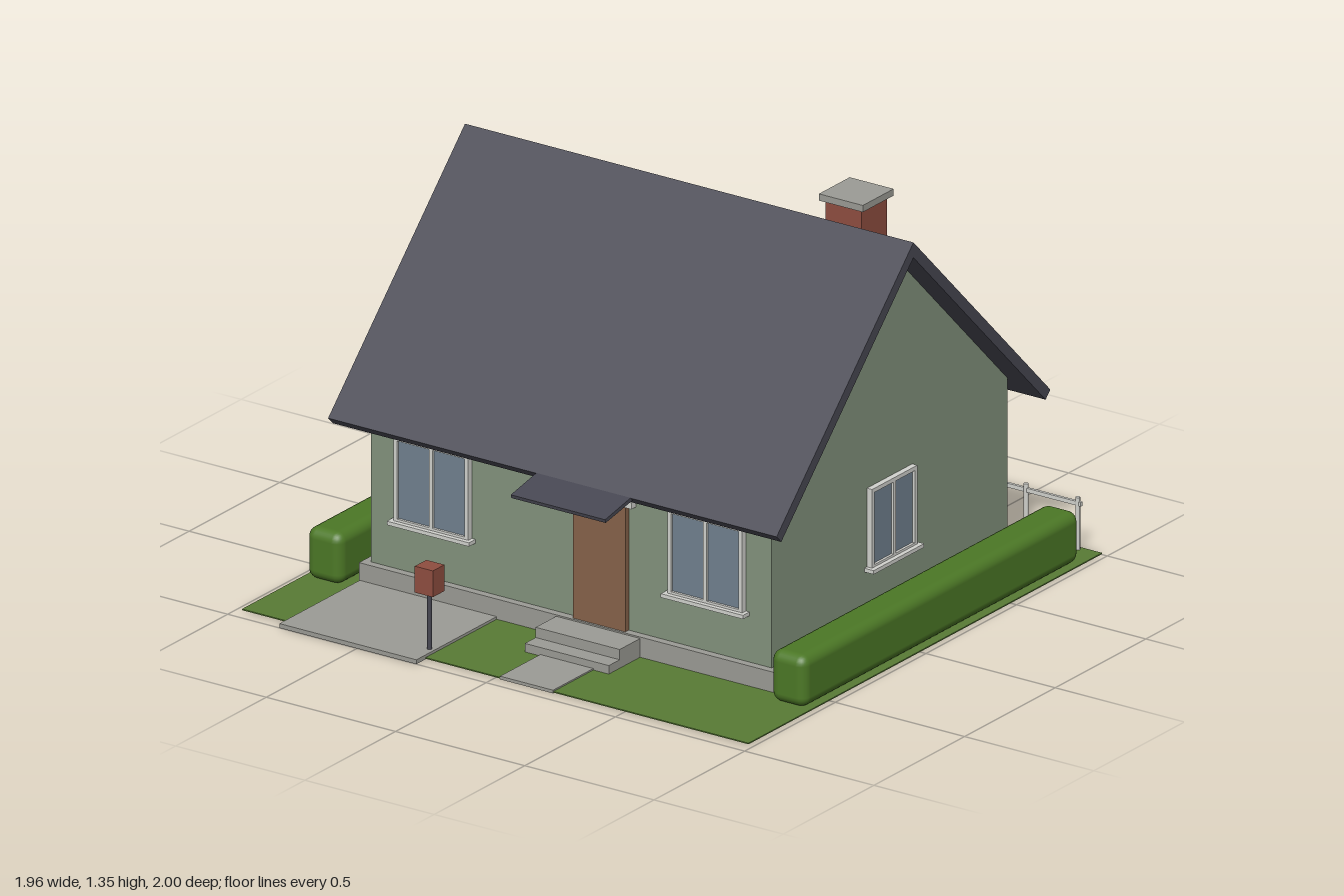
import * as THREE from 'three';
import { RoundedBoxGeometry } from 'three/addons/geometries/RoundedBoxGeometry.js';

const mat = (name, color) => {
  const m = new THREE.MeshStandardMaterial({ color });
  m.name = name;
  return m;
};

export function createModel() {
  const model = new THREE.Group();
  model.name = 'cottage';
  const grass = mat('grass', 0x587b35);
  const leaf = mat('hedge green', 0x4c7826);
  const concrete = mat('concrete', 0x9c9c96);
  const wall = mat('sage wall', 0x83937d);
  const slate = mat('slate', 0x484853);
  const brick = mat('brick', 0x8f4e40);
  const wood = mat('door wood', 0x87634a);
  const trim = mat('white trim', 0xd2d3ce);
  const glass = mat('glass', 0x71818f);

  const add = (name, geometry, material, parent = model) => {
    const mesh = new THREE.Mesh(geometry, material);
    mesh.name = name;
    parent.add(mesh);
    return mesh;
  };
  // Box given by its lower and upper limits on each axis
  const box = (name, material, [x0, x1], [y0, y1], [z0, z1], parent = model) => {
    const mesh = add(name, new THREE.BoxGeometry(x1 - x0, y1 - y0, z1 - z0), material, parent);
    mesh.position.set((x0 + x1) / 2, (y0 + y1) / 2, (z0 + z1) / 2);
    return mesh;
  };
  // Profile of [z, y] points extruded across x, centred
  const acrossX = (name, material, points, width) => {
    const shape = new THREE.Shape(points.map(p => new THREE.Vector2(...p)));
    const geo = new THREE.ExtrudeGeometry(shape, { depth: width, bevelEnabled: false });
    geo.rotateY(-Math.PI / 2).translate(width / 2, 0, 0);
    return add(name, geo, material);
  };

  // Ground and paving
  box('lawn', grass, [-0.98, 0.98], [0.002, 0.006], [-1, 0.95]);
  box('driveway', concrete, [-0.8, -0.27], [0, 0.015], [0.55, 1]);
  box('path', concrete, [0.02, 0.225], [0, 0.011], [0.72, 0.952]);
  box('foundation', concrete, [-0.803, 0.803], [0, 0.075], [-0.797, 0.557]);
  box('upperStep', concrete, [-0.04, 0.285], [0, 0.07], [0.55, 0.67]);
  box('lowerStep', concrete, [-0.04, 0.285], [0, 0.035], [0.67, 0.73]);

  // House body with gables, and the roof over it
  const ridgeZ = -0.12;
  acrossX('walls', wall, [
    [-0.77, 0.07], [0.53, 0.07], [0.53, 0.665], [ridgeZ, 1.315], [-0.77, 0.665],
  ], 1.55);
  const reach = 0.755, t = 0.026; // t: slab thickness along each axis
  acrossX('roof', slate, [
    [ridgeZ, 1.335], [ridgeZ - reach, 1.335 - reach], [ridgeZ - reach + t, 1.335 - reach - t],
    [ridgeZ, 1.335 - 2 * t], [ridgeZ + reach - t, 1.335 - reach - t], [ridgeZ + reach, 1.335 - reach],
  ], 1.735);

  // Chimney
  box('chimneyStack', brick, [0.417, 0.557], [0.95, 1.325], [-0.417, -0.277]);
  box('chimneyCap', concrete, [0.402, 0.572], [1.322, 1.345], [-0.432, -0.262]);

  // Entrance
  box('door', wood, [0.02, 0.222], [0.07, 0.503], [0.52, 0.549]);
  box('doorLintel', trim, [-0.008, 0.25], [0.503, 0.525], [0.52, 0.556]);
  acrossX('canopy', slate, [
    [0.525, 0.587], [0.772, 0.541], [0.775, 0.553], [0.528, 0.602],
  ], 0.365).position.x = 0.12;

  // Two-pane window with sill, facing +z before turning
  const addWindow = (name, w, h, x, y, z, turn) => {
    const group = new THREE.Group();
    group.name = name;
    const rect = (target, x0, x1, y0, y1) => {
      target.moveTo(x0, y0);
      target.lineTo(x1, y0);
      target.lineTo(x1, y1);
      target.lineTo(x0, y1);
      target.closePath();
      return target;
    };
    const b = 0.014, m = 0.006;
    const shape = rect(new THREE.Shape(), -w / 2, w / 2, -h / 2, h / 2);
    shape.holes.push(rect(new THREE.Path(), -w / 2 + b, -m, -h / 2 + b, h / 2 - b));
    shape.holes.push(rect(new THREE.Path(), m, w / 2 - b, -h / 2 + b, h / 2 - b));
    add('windowFrame', new THREE.ExtrudeGeometry(shape, { depth: 0.02, bevelEnabled: false }), trim, group);
    box('windowGlass', glass, [-w / 2 + 0.005, w / 2 - 0.005], [-h / 2 + 0.005, h / 2 - 0.005], [0.003, 0.011], group);
    box('windowSill', trim, [-w / 2 - 0.014, w / 2 + 0.014], [-h / 2 - 0.007, -h / 2 + 0.006], [0, 0.036], group);
    group.position.set(x, y, z);
    group.rotation.y = turn;
    model.add(group);
  };
  for (const s of [-1, 1]) {
    addWindow('frontWindow', 0.29, 0.295, s * 0.53, 0.388, 0.53, 0);
    addWindow('backWindow', 0.29, 0.295, s * 0.45, 0.388, -0.77, Math.PI);
    addWindow('sideWindow', 0.25, 0.275, s * 0.775, 0.377, ridgeZ, s * Math.PI / 2);

    // Hedge along each side
    add('hedge', new RoundedBoxGeometry(0.136, 0.177, 1.525, 3, 0.035), leaf)
      .position.set(s * 0.898, 0.0925, -0.14);
  }

  // Back fence
  const postGeo = new THREE.CylinderGeometry(0.008, 0.008, 0.183, 8);
  for (let i = 0; i < 10; i++) {
    add('fencePost', postGeo, trim).position.set(-0.9 + i * 0.2, 0.0935, -0.98);
  }
  box('fenceRail', trim, [-0.915, 0.915], [0.157, 0.171], [-0.985, -0.975]);

  // Mailbox
  add('mailboxPost', new THREE.CylinderGeometry(0.008, 0.008, 0.21, 8), slate)
    .position.set(-0.289, 0.11, 0.9);
  box('mailbox', brick, [-0.324, -0.254], [0.21, 0.3], [0.868, 0.932]);

  return model;
}
